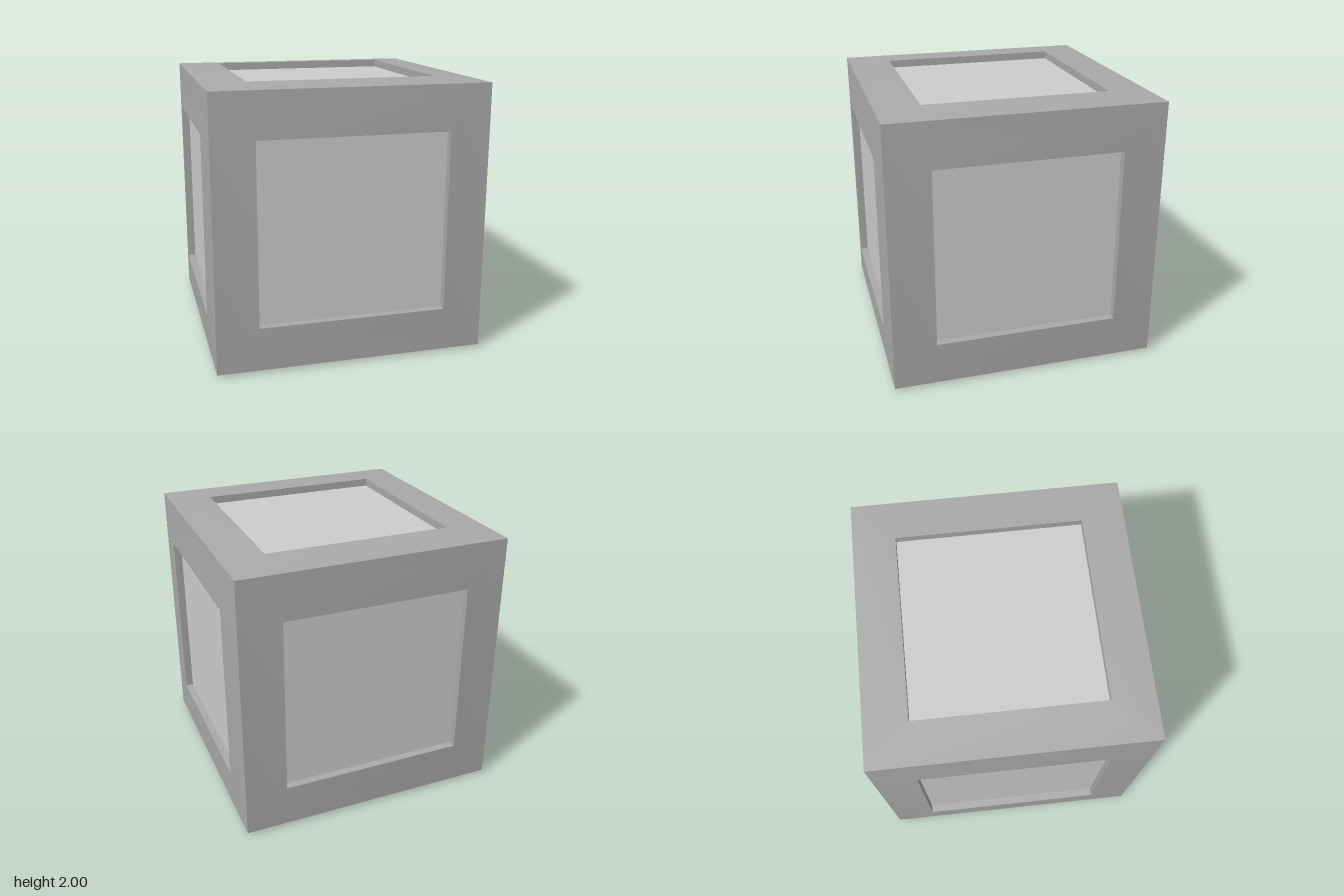
import * as THREE from 'three';

const CORNER = 0.98;  // half-size at the cube corners
const BULGE = 1.0;    // height of each frame at the rim of its opening
const FLOOR = 0.943;  // height of the recessed panel

const rect = (u, v, z) => [[-u, -v, z], [u, -v, z], [u, v, z], [-u, v, z]];

// Sloped border plus the straight walls of its opening, facing +z
function frameGeometry(u, v) {
  const outer = rect(CORNER, CORNER, CORNER);
  const rim = rect(u, v, BULGE);
  const base = rect(u, v, FLOOR);
  const points = [...outer, ...rim];
  const index = [];
  const quad = (a, b, c, d) => index.push(a, b, c, a, c, d);
  for (let i = 0; i < 4; i++) {
    const j = (i + 1) % 4;
    quad(i, j, 4 + j, 4 + i);
    // walls get their own corners so the rim stays sharp
    const n = points.length;
    points.push(rim[i], rim[j], base[j], base[i]);
    quad(n, n + 1, n + 2, n + 3);
  }
  const geometry = new THREE.BufferGeometry();
  geometry.setAttribute('position', new THREE.Float32BufferAttribute(points.flat(), 3));
  geometry.setIndex(index);
  geometry.computeVertexNormals();
  return geometry;
}

export function createModel() {
  const model = new THREE.Group();
  model.name = 'panelledCube';
  const frameMaterial = new THREE.MeshStandardMaterial({ color: 0xa9a9a9 });
  const panelMaterial = new THREE.MeshStandardMaterial({ color: 0xcccccc });

  // Half-size of the openings along each axis
  const X = 0.68, Y = 0.655, Z = 0.67;
  const H = Math.PI / 2;
  const sides = [
    ['front', X, Y, 0, 0],
    ['back', X, Y, 0, Math.PI],
    ['left', Z, Y, 0, H],
    ['right', Z, Y, 0, -H],
    ['top', X, Z, -H, 0],
    ['bottom', X, Z, H, 0],
  ];

  for (const [name, u, v, rx, ry] of sides) {
    const side = new THREE.Group();
    side.name = name + 'Side';

    const frame = new THREE.Mesh(frameGeometry(u, v), frameMaterial);
    frame.name = name + 'Frame';

    const panel = new THREE.Mesh(new THREE.PlaneGeometry(2 * u, 2 * v), panelMaterial);
    panel.name = name + 'Panel';
    panel.position.z = FLOOR;

    side.add(frame, panel);
    side.rotation.set(rx, ry, 0);
    side.position.y = 1;
    model.add(side);
  }
  return model;
}
